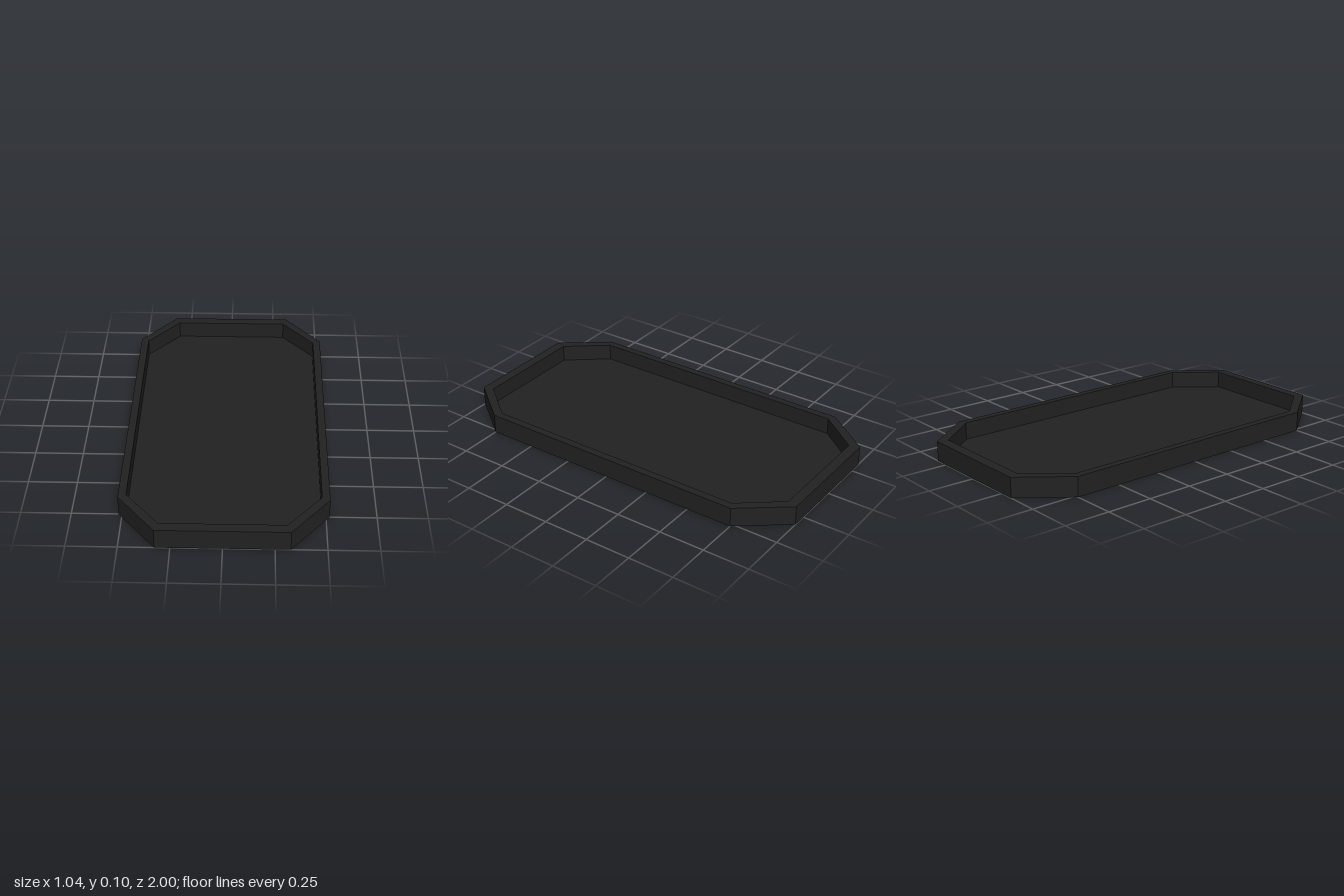
import * as THREE from 'three';

// Eight-sided outline: a rectangle of half sizes x, z with its corners cut at cx, cz
function octagon(x, z, cx, cz, Type = THREE.Shape) {
  const corners = [[x, -cz], [x, cz], [cx, z], [-cx, z], [-x, cz], [-x, -cz], [-cx, -z], [cx, -z]];
  return new Type(corners.map(([a, b]) => new THREE.Vector2(a, b)));
}

// Extrude an outline upwards from y = bottom to y = top
function slab(shape, bottom, top) {
  return new THREE.ExtrudeGeometry(shape, { depth: top - bottom, bevelEnabled: false })
    .rotateX(-Math.PI / 2)
    .translate(0, bottom, 0);
}

export function createModel() {
  const charcoal = new THREE.MeshStandardMaterial({ name: 'charcoal', color: 0x222222 });
  const group = new THREE.Group();
  group.name = 'tray';

  const height = 0.105, floorTop = 0.014;
  const outer = [0.518, 1, 0.325, 0.75];
  const inner = [0.478, 0.945, 0.307, 0.73];

  // Raised wall around the edge
  const wallShape = octagon(...outer);
  wallShape.holes.push(octagon(...inner, THREE.Path));
  const wall = new THREE.Mesh(slab(wallShape, 0, height), charcoal);
  wall.name = 'wall';

  // Thin floor inside the wall
  const floor = new THREE.Mesh(slab(octagon(...inner), 0, floorTop), charcoal);
  floor.name = 'floor';

  group.add(wall, floor);
  return group;
}
